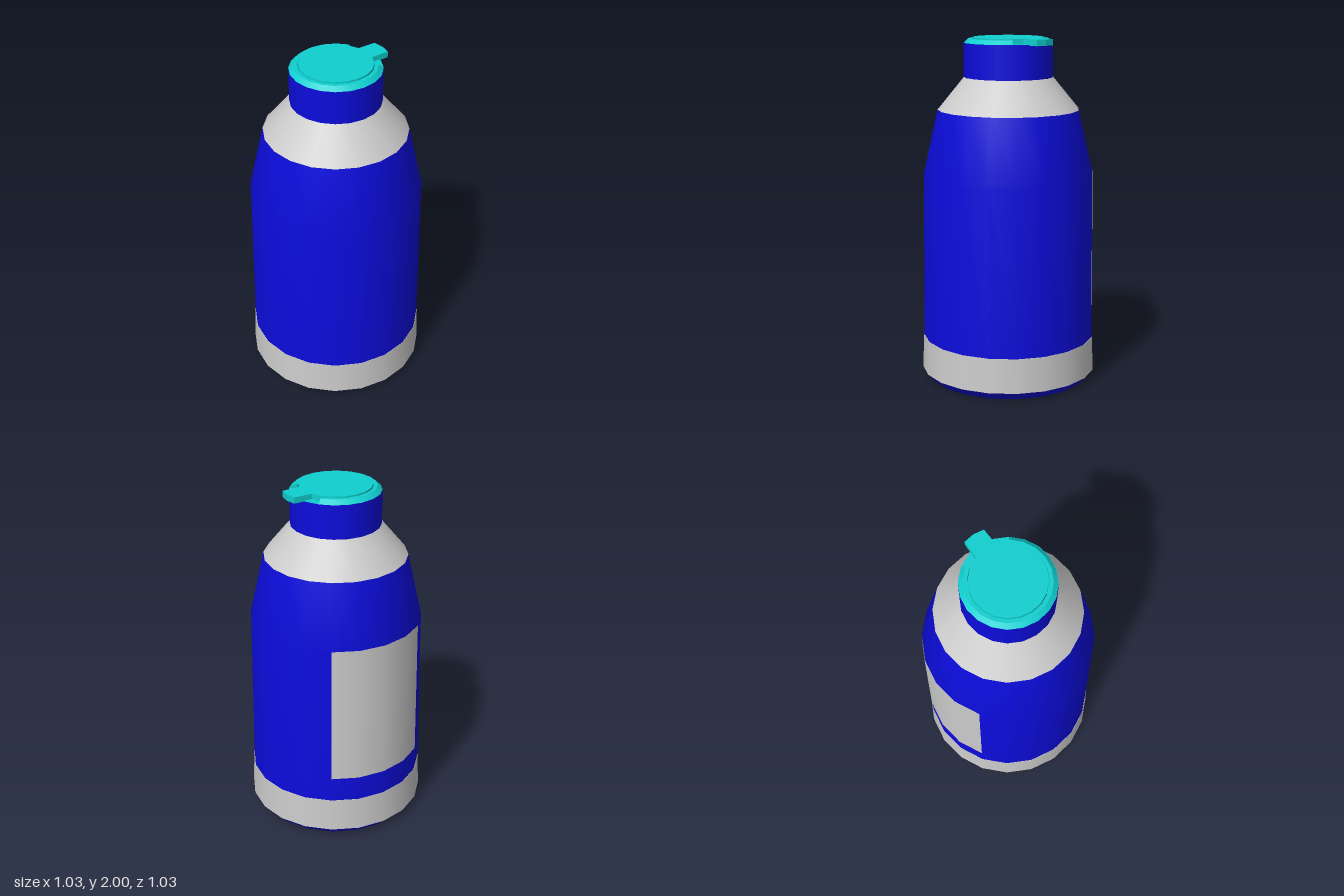
import * as THREE from 'three';

const SIDES = 20;
const STEP = (Math.PI * 2) / SIDES;

function material(color) {
  return new THREE.MeshStandardMaterial({ color, side: THREE.DoubleSide });
}

export function createModel() {
  const group = new THREE.Group();
  const blue = material(0x0c0cdc);
  const grey = material(0xcccccc);
  const teal = material(0x0fcfcf);

  function add(name, geometry, mat) {
    const mesh = new THREE.Mesh(geometry, mat);
    mesh.name = name;
    group.add(mesh);
    return mesh;
  }

  // Turned section from [radius, height] pairs; covers some of the 20 sides
  function turned(name, mat, profile, firstSide = 0, sides = SIDES) {
    const points = profile.map(([r, y]) => new THREE.Vector2(r, y));
    return add(name, new THREE.LatheGeometry(points, sides, firstSide * STEP, sides * STEP), mat);
  }

  // Bottle, from the ground up; separate sections keep the edges crisp
  turned('bottom', blue, [[0, 0], [0.465, 0]]);
  turned('foot', blue, [[0.465, 0], [0.513, 0.05]]);
  turned('baseBand', grey, [[0.513, 0.05], [0.504, 0.25]]);
  turned('baseBandTop', grey, [[0.504, 0.25], [0.502, 0.25]]);
  turned('body', blue, [[0.502, 0.25], [0.491, 1.22], [0.408, 1.59]]);
  turned('shoulder', grey, [[0.408, 1.59], [0.256, 1.775]]);
  turned('neck', blue, [[0.256, 1.775], [0.256, 1.97]]);
  turned('neckTop', teal, [[0.256, 1.97], [0, 1.97]]);

  // Label wrapped over four sides on the -x side
  turned('label', grey, [[0.504, 0.4], [0.495, 1.22]], 13, 4);

  // Cap rim, left open over four sides at the back for the tab
  turned('rimSlope', teal, [[0.255, 1.97], [0.23, 1.993]], 12, 16);
  turned('rimTop', teal, [[0.23, 1.993], [0.209, 1.993]], 12, 16);
  turned('rimInside', teal, [[0.209, 1.993], [0.209, 1.97]], 12, 16);

  // Closing faces at the two ends of the rim
  for (const side of [8, 12]) {
    const end = new THREE.Shape([
      new THREE.Vector2(0.209, 1.97), new THREE.Vector2(0.255, 1.97),
      new THREE.Vector2(0.23, 1.993), new THREE.Vector2(0.209, 1.993),
    ]);
    add('rimEnd', new THREE.ShapeGeometry(end), teal).rotation.y = side * STEP - Math.PI / 2;
  }

  // Lid disc with its pull tab pointing to the back
  const outline = [];
  for (let i = 1; i < SIDES; i++) {
    outline.push(new THREE.Vector2(0.205 * Math.sin(i * STEP), 0.205 * Math.cos(i * STEP)));
  }
  for (const [x, y] of [[-0.06, 0.303], [0, 0.312], [0.06, 0.303]]) {
    outline.push(new THREE.Vector2(x, y));
  }
  const lid = new THREE.ExtrudeGeometry(new THREE.Shape(outline), { depth: 0.035, bevelEnabled: false });
  lid.rotateX(-Math.PI / 2);
  lid.translate(0, 1.965, 0);
  add('lidWithTab', lid, teal);

  return group;
}
